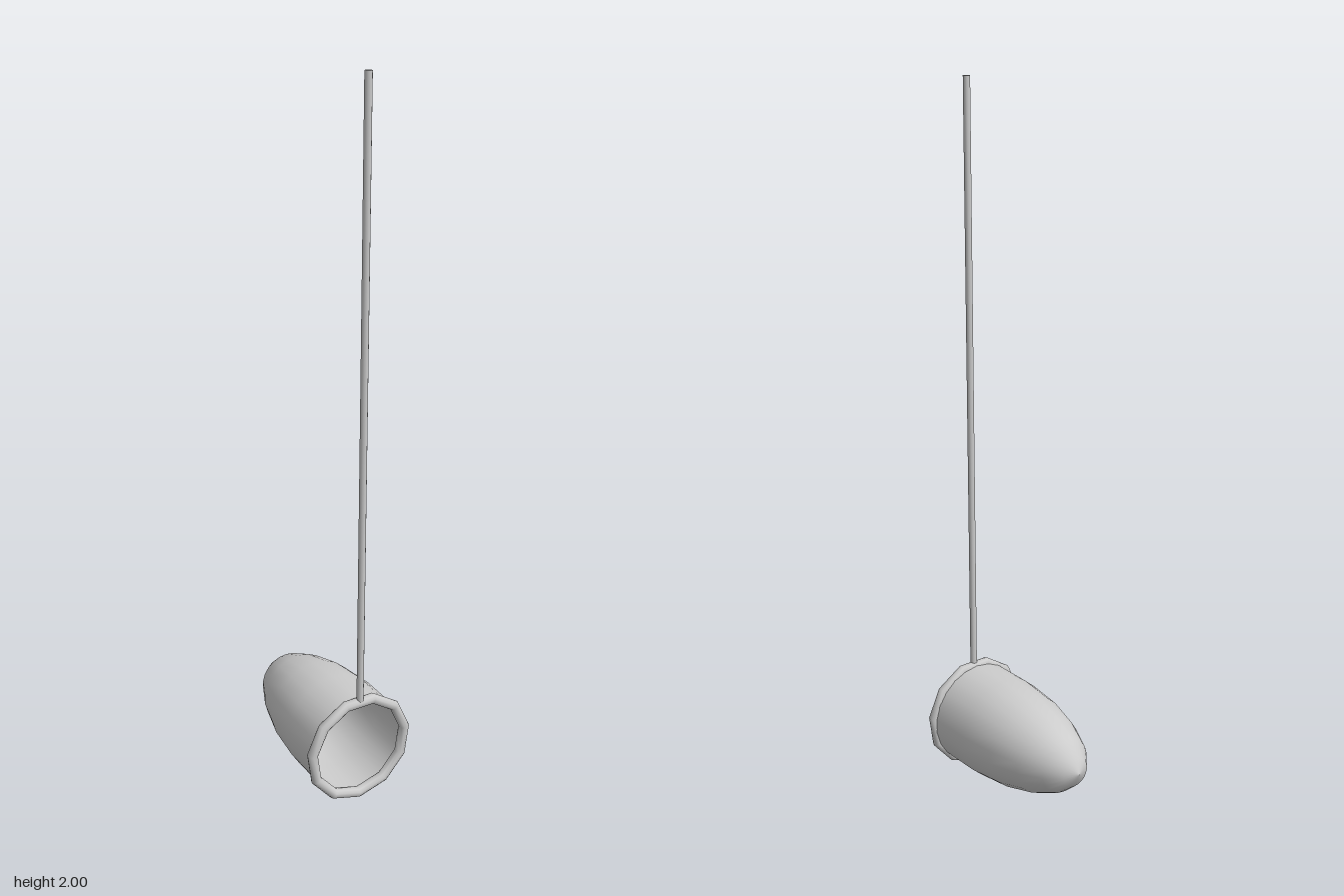
import * as THREE from 'three';

export function createModel() {
  const group = new THREE.Group();
  const material = new THREE.MeshStandardMaterial({ color: 0xcccccc, side: THREE.DoubleSide });
  const centreY = 0.165;

  const add = (name, geometry, y, z) => {
    const mesh = new THREE.Mesh(geometry, material);
    mesh.name = name;
    mesh.position.set(0, y, z);
    group.add(mesh);
  };

  // Hollow bullet-shaped cup: [radius, z] from closed tip to open mouth
  const profile = [
    [0, -0.247], [0.042, -0.231], [0.081, -0.185], [0.114, -0.112],
    [0.138, -0.02], [0.15, 0.09], [0.15, 0.23],
  ].map(([r, z]) => new THREE.Vector2(r, z));
  const cup = new THREE.LatheGeometry(profile, 22);
  cup.rotateX(Math.PI / 2);
  add('cup', cup, centreY, 0);

  // Rolled eleven-sided rim, one corner pointing down
  const rim = new THREE.TorusGeometry(0.15, 0.015, 10, 11);
  rim.rotateZ(-Math.PI / 2);
  add('rim', rim, centreY, 0.231);

  // Thin upright rod rising from the top of the rim
  const bottom = 0.31;
  const rod = new THREE.CylinderGeometry(0.01, 0.01, 2 - bottom, 10);
  add('rod', rod, (2 + bottom) / 2, 0.234);

  return group;
}
